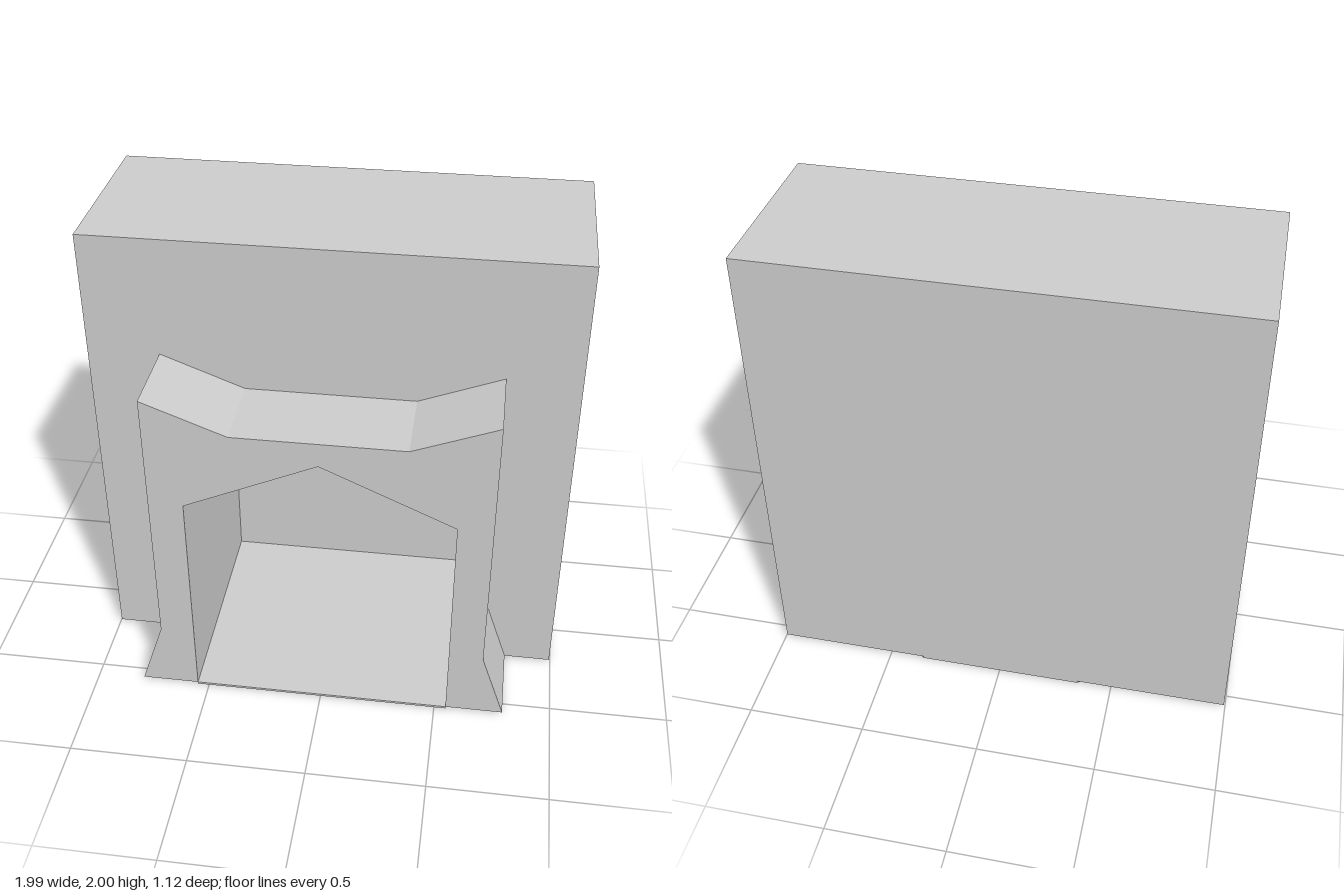
import * as THREE from 'three';

const BASE = 0.01;      // underside of the masonry
const FRONT = 0.56;     // front of the surround
const BREAST = 0.21;    // front of the chimney breast
const RECESS = -0.43;   // back wall of the firebox
const BACK = -0.56;

// Outline of the opening, from its right foot over the peak to its left foot
const OPENING = [[0.55, BASE], [0.55, 1], [0, 1.25], [-0.55, 1], [-0.55, BASE]];

const material = new THREE.MeshStandardMaterial({ color: 0xcccccc, flatShading: true });

function extrude(points, z0, z1) {
  const shape = new THREE.Shape(points.map(([x, y]) => new THREE.Vector2(x, y)));
  const geometry = new THREE.ExtrudeGeometry(shape, { depth: z1 - z0, bevelEnabled: false });
  return geometry.translate(0, 0, z0);
}

// Mirrors a half outline (x > 0, bottom to top) into a full one
function mirrored(half) {
  return [...half, ...half.map(([x, y]) => [-x, y]).reverse()];
}

export function createModel() {
  const group = new THREE.Group();
  const add = (name, geometry) => {
    const mesh = new THREE.Mesh(geometry, material);
    mesh.name = name;
    group.add(mesh);
    return mesh;
  };

  // Chimney breast, notched by the firebox, and its closed rear slab
  const block = mirrored([[0.995, BASE], [0.995, 2]]);
  add('chimneyBreast', extrude([...block, ...[...OPENING].reverse()], RECESS, BREAST));
  add('rearWall', extrude(block, BACK, RECESS));

  // Surround with flared feet and raised shoulders
  const outline = mirrored([[0.795, BASE], [0.695, 0.31], [0.695, 1.49], [0.35, 1.355]]);
  add('surround', extrude([...outline, ...[...OPENING].reverse()], BREAST, FRONT));

  // Firebox ceiling, sloping from the front peak down to the back wall
  const corners = [];
  for (const s of [-1, 1]) {
    const side = [s * 0.55, 1, FRONT];
    const sideBack = [s * 0.55, 1, RECESS];
    const peak = [0, 1.25, FRONT];
    const middleBack = [0, 1, RECESS];
    const faces = [[side, middleBack, peak], [side, sideBack, middleBack]];
    for (const face of faces) corners.push(...(s < 0 ? face : face.reverse()));
  }
  const ceiling = new THREE.BufferGeometry();
  ceiling.setAttribute('position', new THREE.Float32BufferAttribute(corners.flat(), 3));
  ceiling.computeVertexNormals();
  add('fireboxCeiling', ceiling);

  // Thin hearth plate with clipped rear corners
  const plate = mirrored([[0.55, -FRONT], [0.55, -RECESS], [0.35, -BACK]]);
  add('hearthPlate', extrude(plate, 0, BASE).rotateX(-Math.PI / 2));

  return group;
}
